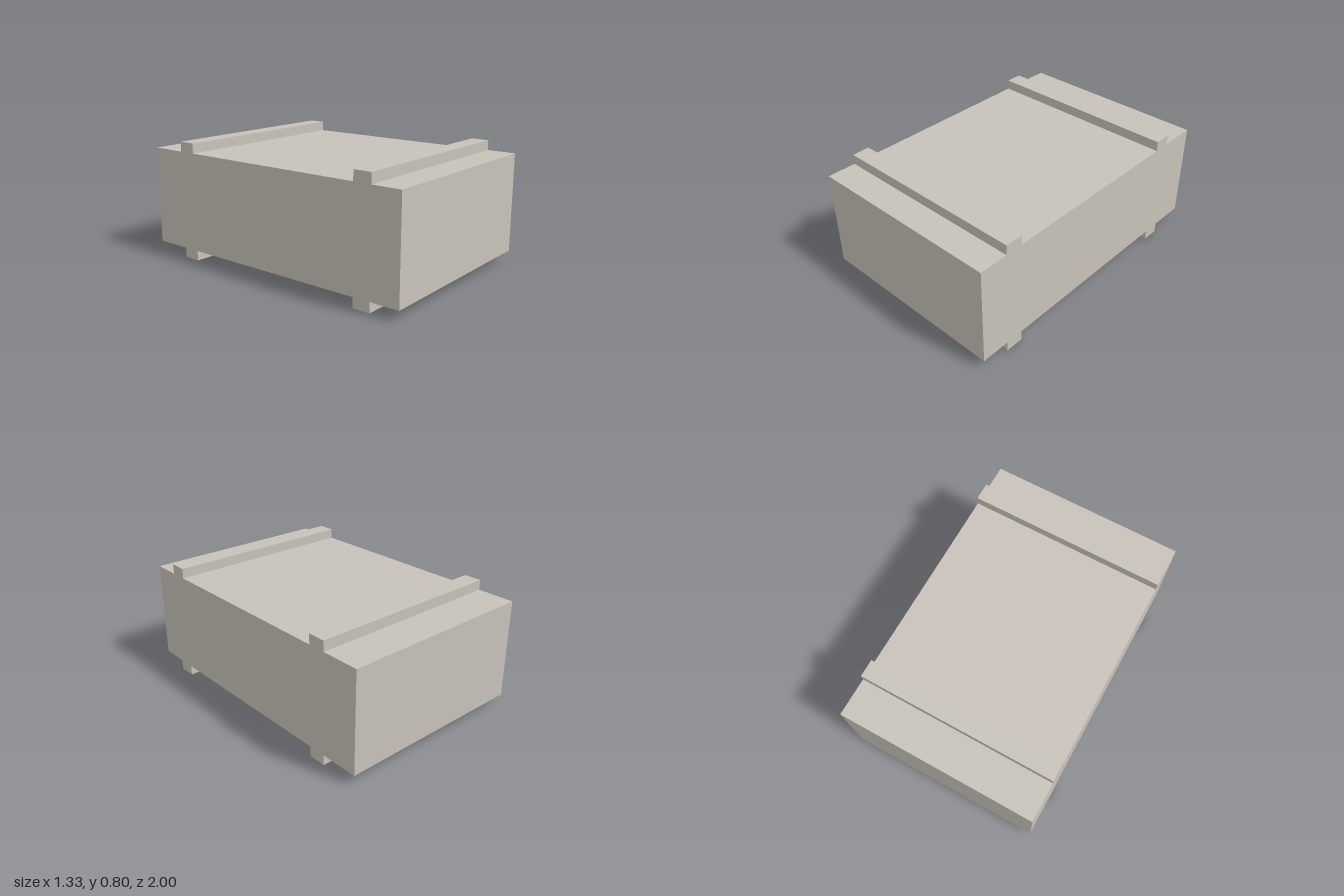
import * as THREE from 'three';

const WIDTH = 1.33, HEIGHT = 0.8, BATTEN_RISE = 0.067;
const BATTENS = [[-0.745, -0.627], [0.685, 0.805]]; // z ranges, back to front

export function createModel() {
  const stone = new THREE.MeshStandardMaterial({ color: 0xc8c2b9 });
  const bottom = BATTEN_RISE, top = HEIGHT - BATTEN_RISE;

  // Side outline (z, y): a slab with battens standing out above and below
  const outline = [[-1, bottom]];
  for (const [a, b] of BATTENS) {
    outline.push([a, bottom], [a, 0], [b, 0], [b, bottom]);
  }
  outline.push([1, bottom], [1, top]);
  for (const [a, b] of [...BATTENS].reverse()) {
    outline.push([b, top], [b, HEIGHT], [a, HEIGHT], [a, top]);
  }
  outline.push([-1, top]);

  // Extrude across the width, then turn the outline to run along z
  const shape = new THREE.Shape(outline.map(([z, y]) => new THREE.Vector2(z, y)));
  const geometry = new THREE.ExtrudeGeometry(shape, { depth: WIDTH, bevelEnabled: false });
  geometry.translate(0, 0, -WIDTH / 2);
  geometry.rotateY(-Math.PI / 2);

  const block = new THREE.Mesh(geometry, stone);
  block.name = 'blockWithBattens';

  const group = new THREE.Group();
  group.name = 'battenedBlock';
  group.add(block);
  return group;
}
